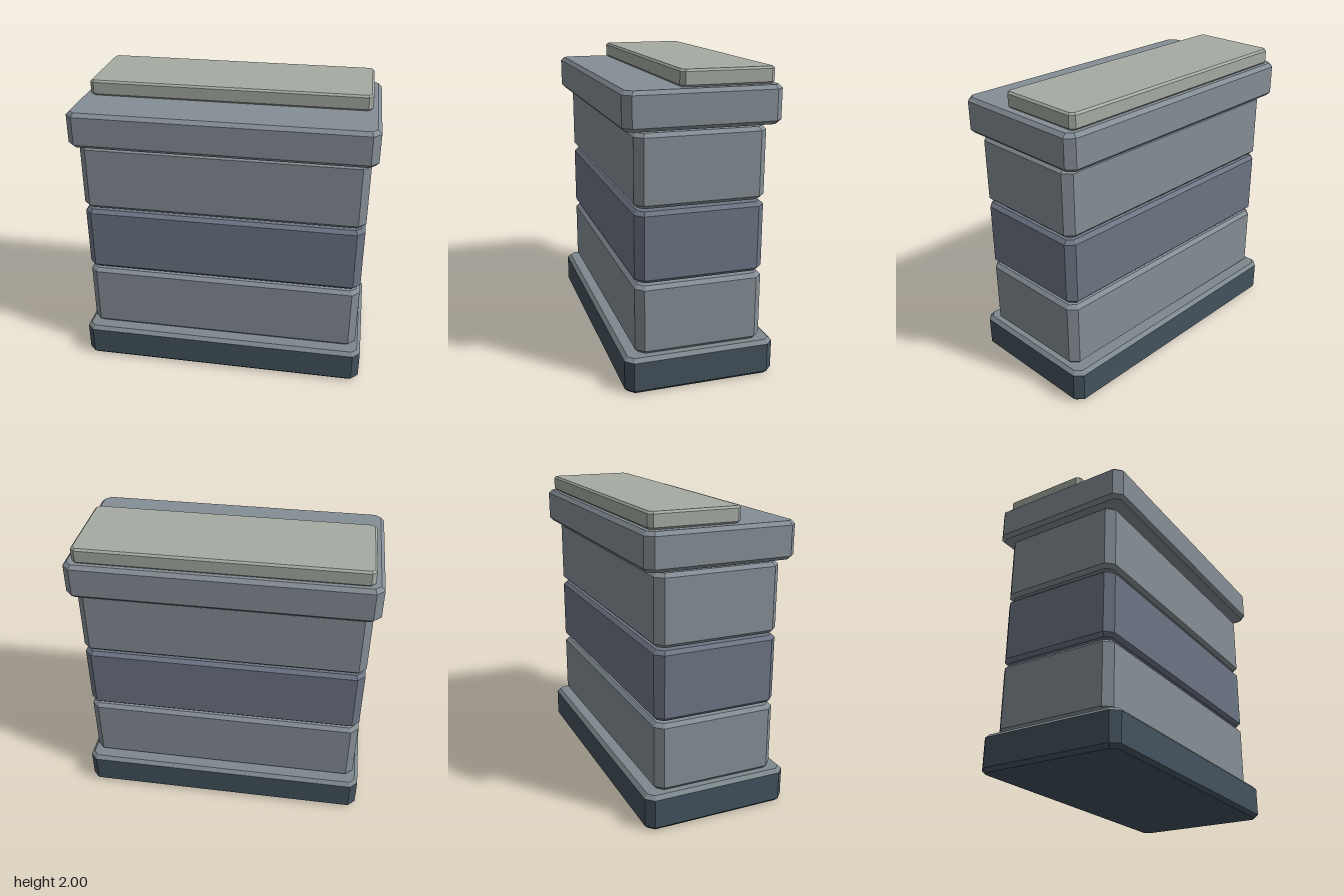
import * as THREE from 'three';

// Octagonal outline: a rectangle with chamfered corners, counter-clockwise seen from above
function ring(w, d, c, y) {
  const x = w / 2, z = d / 2;
  return [
    [x, z - c], [x, c - z], [x - c, -z], [c - x, -z],
    [-x, c - z], [-x, z - c], [c - x, z], [x - c, z],
  ].map(([px, pz]) => new THREE.Vector3(px, y, pz));
}

// Flat-faced surface through stacked rings, optionally closed at either end
function loft(rings, capBottom, capTop) {
  const pts = [];
  const n = rings[0].length;
  for (let r = 0; r < rings.length - 1; r++) {
    for (let i = 0; i < n; i++) {
      const j = (i + 1) % n, lo = rings[r], hi = rings[r + 1];
      pts.push(lo[i], lo[j], hi[j], lo[i], hi[j], hi[i]);
    }
  }
  const first = rings[0], last = rings[rings.length - 1];
  for (let i = 1; i < n - 1; i++) {
    if (capBottom) pts.push(first[0], first[i + 1], first[i]);
    if (capTop) pts.push(last[0], last[i], last[i + 1]);
  }
  const geo = new THREE.BufferGeometry().setFromPoints(pts);
  geo.computeVertexNormals();
  return geo;
}

function addMesh(parent, name, geo, color) {
  const mesh = new THREE.Mesh(geo, new THREE.MeshStandardMaterial({ color, flatShading: true }));
  mesh.name = name;
  parent.add(mesh);
}

// Slab with chamfered uprights and bevelled rims; topColor paints the upper rim and face separately
function addSlab(parent, { name, w, d, y0, y1, z = 0, chamfer = 0.05, bevel = 0.024, color, topColor }) {
  const part = new THREE.Group();
  part.name = name;
  part.position.z = z;
  const ic = chamfer - bevel * 0.586; // chamfer of the inset rim
  const rings = [
    ring(w - 2 * bevel, d - 2 * bevel, ic, y0),
    ring(w, d, chamfer, y0 + bevel),
    ring(w, d, chamfer, y1 - bevel),
    ring(w - 2 * bevel, d - 2 * bevel, ic, y1),
  ];
  if (topColor === undefined) {
    addMesh(part, name + 'Body', loft(rings, true, true), color);
  } else {
    addMesh(part, name + 'Body', loft(rings.slice(0, 3), true, false), color);
    addMesh(part, name + 'Top', loft(rings.slice(2), false, true), topColor);
  }
  parent.add(part);
}

export function createModel() {
  const model = new THREE.Group();
  model.name = 'blockWall';
  const stone = 0x858e95, blueStone = 0x6d7584;

  // Plinth
  addSlab(model, { name: 'base', w: 1.988, d: 0.994, y0: 0, y1: 0.24, color: 0x43525d, topColor: 0x7d888d });

  // Three stacked courses separated by narrow open joints
  [stone, blueStone, stone].forEach((color, i) => {
    const y0 = 0.243 + i * 0.4725;
    addSlab(model, { name: 'course' + (i + 1), w: 1.908, d: 0.836, y0, y1: y0 + 0.455, color });
  });

  // Overhanging coping and the thin plate set toward its back
  addSlab(model, { name: 'coping', w: 1.988, d: 0.994, y0: 1.659, y1: 1.896, color: stone });
  addSlab(model, {
    name: 'topPlate', w: 1.87, d: 0.598, y0: 1.896, y1: 2, z: -0.16,
    chamfer: 0.028, bevel: 0.013, color: 0xa5aba3,
  });
  return model;
}
